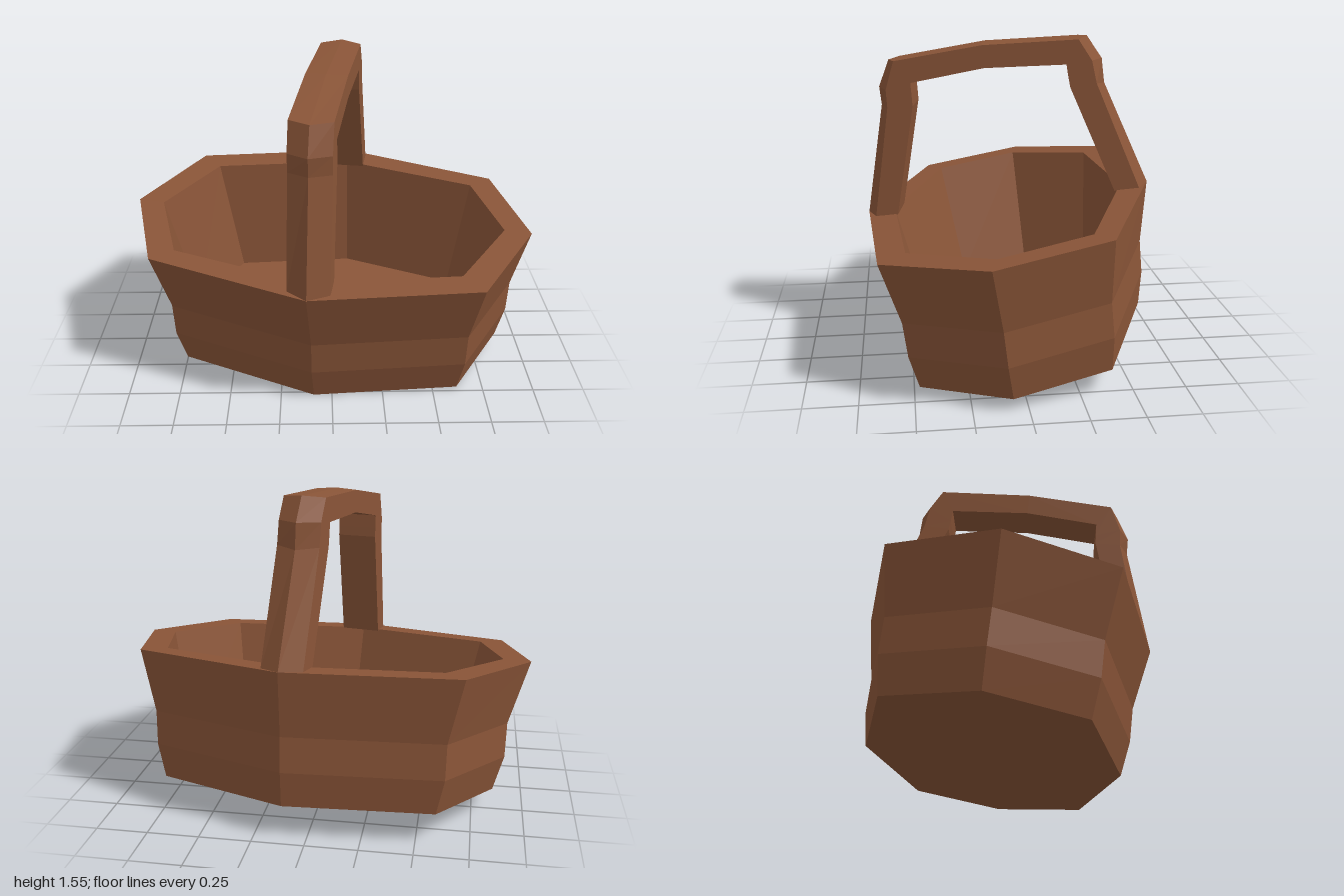
import * as THREE from 'three';

const wicker = new THREE.MeshStandardMaterial({ color: 0x8a5538, flatShading: true });

// Skins a list of equal-sized rings (counterclockwise about the travel direction) and caps both ends
function loft(rings) {
  const pos = [];
  const tri = (a, b, c) => pos.push(...a, ...b, ...c);
  const n = rings[0].length;
  for (let r = 0; r < rings.length - 1; r++) {
    const a = rings[r], b = rings[r + 1];
    for (let i = 0; i < n; i++) {
      const j = (i + 1) % n;
      tri(a[i], a[j], b[j]);
      tri(a[i], b[j], b[i]);
    }
  }
  const first = rings[0], last = rings[rings.length - 1];
  for (let i = 1; i < n - 1; i++) {
    tri(first[0], first[i + 1], first[i]);
    tri(last[0], last[i], last[i + 1]);
  }
  const geometry = new THREE.BufferGeometry();
  geometry.setAttribute('position', new THREE.Float32BufferAttribute(pos, 3));
  geometry.computeVertexNormals();
  return geometry;
}

function addPart(group, name, rings) {
  const mesh = new THREE.Mesh(loft(rings), wicker);
  mesh.name = name;
  group.add(mesh);
}

export function createModel() {
  const group = new THREE.Group();
  group.name = 'basket';

  // Bowl: a long octagon leaning backwards, scaled from underside to rim, then down the inside
  const outline = [[-0.12, 0.70], [0.70, 0.645], [1, 0.175], [0.875, -0.365],
    [0.12, -0.70], [-0.70, -0.645], [-1, -0.175], [-0.875, 0.365]];
  const tilt = -0.13;
  const levels = [ // centre x, y, z, then scale in x and z
    [0.015, 0.08, -0.08, 0.865, 0.86],
    [0.01, 0.25, -0.06, 0.91, 0.905],
    [0.01, 0.42, -0.04, 0.915, 0.91],
    [0, 0.73, 0, 1, 1],
    [0, 0.73, 0, 0.87, 0.81],
    [0.02, 0.13, -0.075, 0.74, 0.68],
  ];
  addPart(group, 'bowl', levels.map(([cx, cy, cz, sx, sz]) =>
    outline.map(([x, z]) => [cx + x * sx, cy + tilt * z * sz, cz + z * sz])));

  // Handle: five-sided section with an outer ridge, running from the front rim over to the back rim
  const turn = -0.17;
  const stations = [ // z, y of ridge, outer edges and inner edges
    [0.70, 0.635, 0.645, 0.645, 0.535, 0.655],
    [0.615, 1.20, 0.57, 1.20, 0.447, 1.21],
    [0.625, 1.29, 0.575, 1.29, 0.45, 1.26],
    [0.575, 1.425, 0.535, 1.43, 0.455, 1.325],
    [0.12, 1.515, 0.11, 1.51, 0.10, 1.40],
    [-0.385, 1.55, -0.345, 1.54, -0.29, 1.42],
    [-0.46, 1.44, -0.41, 1.44, -0.30, 1.36],
    [-0.475, 1.32, -0.435, 1.33, -0.31, 1.31],
    [-0.70, 0.82, -0.655, 0.81, -0.535, 0.795],
  ];
  const edge = (z, y, side) => [turn * z + side * 0.1, y, z - turn * side * 0.1];
  addPart(group, 'handle', stations.map(([rz, ry, oz, oy, iz, iy]) => [
    edge(rz, ry, 0), edge(oz, oy, 1), edge(iz, iy, 1), edge(iz, iy, -1), edge(oz, oy, -1),
  ]));

  return group;
}
